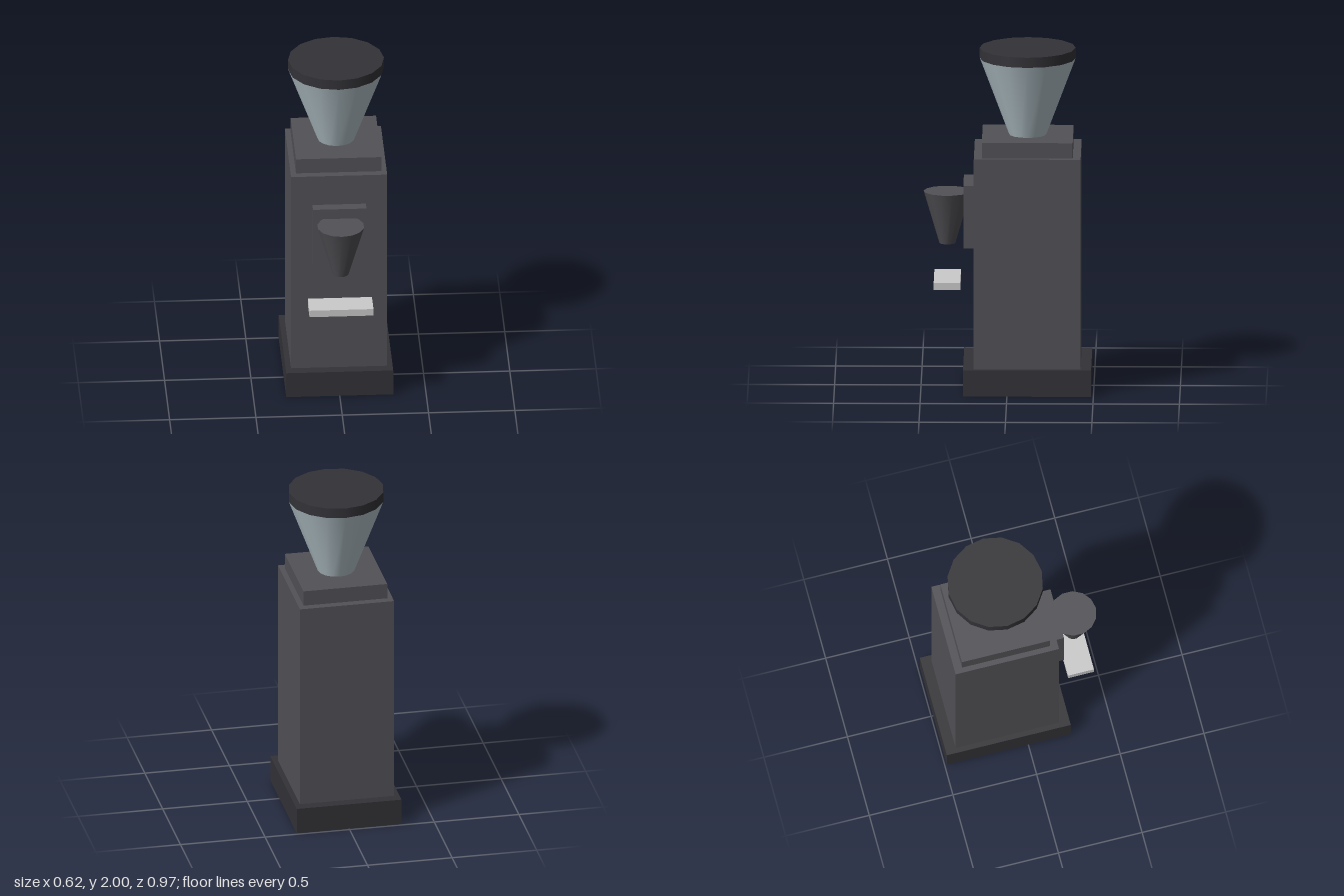
import * as THREE from 'three';

const material = (color) => new THREE.MeshStandardMaterial({ color });

export function createModel() {
  const group = new THREE.Group();
  const casing = material(0x525156);
  const dark = material(0x333237);
  const glass = material(0xb9c9d0);
  const metal = material(0xcccccc);

  const add = (name, geometry, mat, y, z) => {
    const mesh = new THREE.Mesh(geometry, mat);
    mesh.name = name;
    mesh.position.set(0, y, z);
    group.add(mesh);
  };

  // Block centred on x, given by its width and its y and z ranges
  const block = (name, mat, width, y0, y1, z0, z1) =>
    add(name, new THREE.BoxGeometry(width, y1 - y0, z1 - z0), mat, (y0 + y1) / 2, (z0 + z1) / 2);

  // Upright cone or disc, given by its radii and y range
  const cone = (name, mat, rTop, rBottom, y0, y1, z, sides) =>
    add(name, new THREE.CylinderGeometry(rTop, rBottom, y1 - y0, sides), mat, (y0 + y1) / 2, z);

  // Housing
  block('base', dark, 0.62, 0, 0.155, -0.487, 0.254);
  block('body', casing, 0.557, 0.155, 1.397, -0.426, 0.192);
  block('topCollar', casing, 0.495, 1.397, 1.488, -0.38, 0.146);

  // Bean hopper and lid
  cone('hopper', glass, 0.278, 0.108, 1.488, 1.94, -0.117, 16);
  cone('hopperLid', dark, 0.278, 0.278, 1.94, 2, -0.117, 16);

  // Dispensing spout on its mounting plate
  block('spoutPlate', casing, 0.31, 0.842, 1.212, 0.192, 0.254);
  cone('spout', casing, 0.137, 0.046, 0.842, 1.15, 0.348, 14);

  // Portafilter rest
  block('portafilterRest', metal, 0.371, 0.603, 0.645, 0.271, 0.425);

  return group;
}
